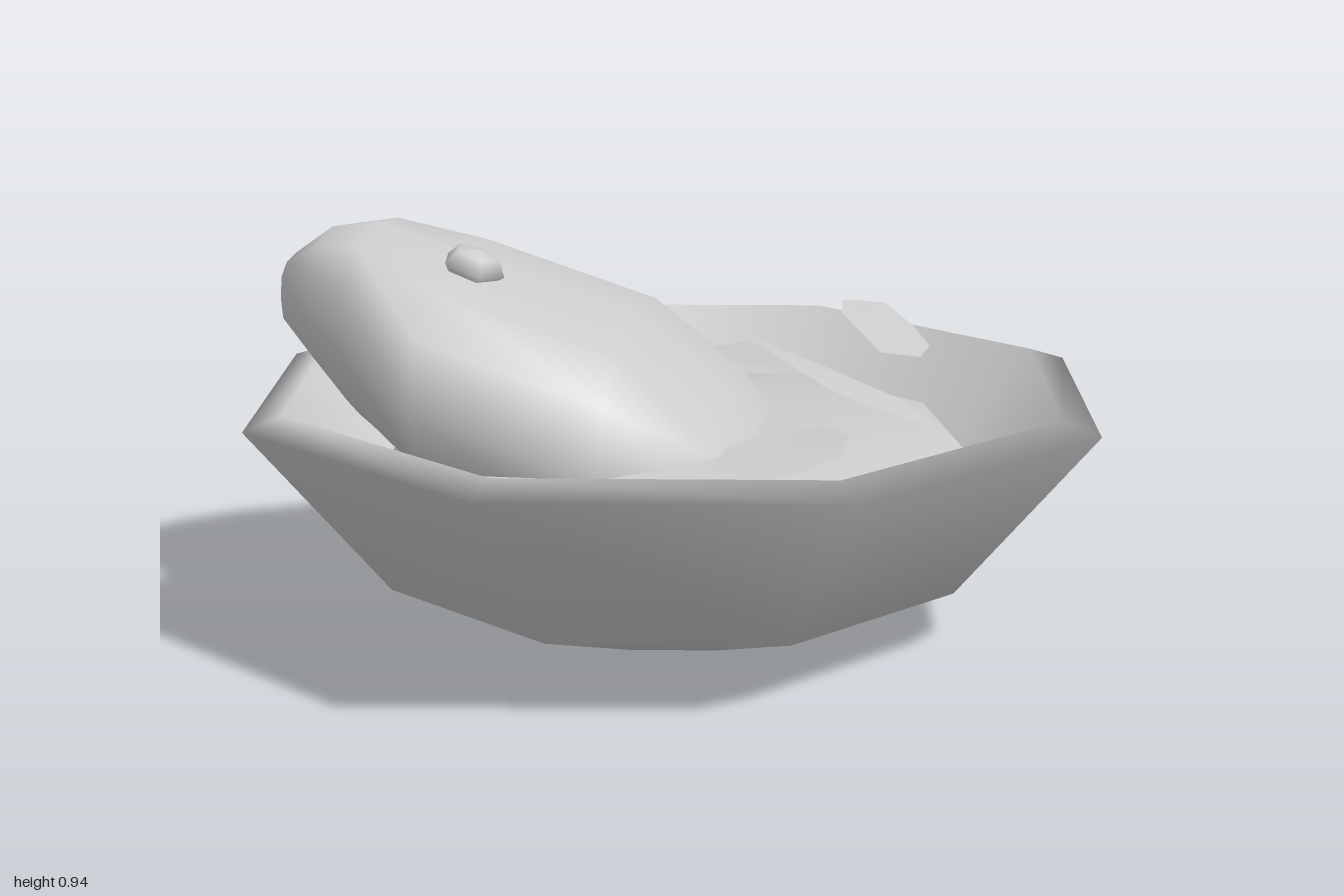
import * as THREE from 'three';

const material = new THREE.MeshStandardMaterial({ color: 0xcccccc });
const thinMaterial = new THREE.MeshStandardMaterial({ color: 0xcccccc, side: THREE.DoubleSide });

function addMesh(group, name, geometry, mat = material) {
  const mesh = new THREE.Mesh(geometry, mat);
  mesh.name = name;
  group.add(mesh);
  return mesh;
}

// Faceted solid of revolution; the profile runs from the bottom up the outside.
function turned(profile, sides, startDegrees) {
  const points = profile.map(([r, y]) => new THREE.Vector2(r, y));
  return new THREE.LatheGeometry(points, sides, THREE.MathUtils.degToRad(startDegrees));
}

function indexed(positions, index) {
  const geometry = new THREE.BufferGeometry();
  geometry.setAttribute('position', new THREE.Float32BufferAttribute(positions, 3));
  geometry.setIndex(index);
  geometry.computeVertexNormals();
  return geometry;
}

// Boxy rounded sections [s, top, middle, bottom, halfWidth] along the diagonal x = -z.
function loft(sections, sides, shift) {
  const positions = [], index = [];
  const soften = (v) => Math.sign(v) * Math.abs(v) ** 0.75;
  sections.forEach(([s, top, middle, bottom, width], i) => {
    for (let j = 0; j < sides; j++) {
      const a = (j / sides) * Math.PI * 2;
      const d = shift + width * soften(Math.cos(a));
      const v = soften(Math.sin(a));
      const y = middle + v * (v > 0 ? top - middle : middle - bottom);
      positions.push((s + d) * Math.SQRT1_2, y, (d - s) * Math.SQRT1_2);
      if (i === 0) continue;
      const k = (j + 1) % sides, p = (i - 1) * sides, q = i * sides;
      index.push(p + j, q + j, p + k, p + k, q + j, q + k);
    }
  });
  return indexed(positions, index);
}

// Thin leaf: a fan of triangles around the middle of its outline.
function leafGeometry(outline) {
  const n = outline.length;
  const centre = [0, 1, 2].map((k) => outline.reduce((sum, p) => sum + p[k], 0) / n);
  const index = [];
  for (let i = 0; i < n; i++) index.push(0, 1 + ((i + 1) % n), 1 + i);
  return indexed([centre, ...outline].flat(), index);
}

export function createModel() {
  const model = new THREE.Group();
  model.name = 'filledBowl';

  // Eight-sided bowl with a bevelled rim and a straight inner wall
  addMesh(model, 'bowl', turned([
    [0, 0], [0.265, 0], [0.7, 0.15], [1.035, 0.555],
    [0.945, 0.585], [0.64, 0.22], [0.24, 0.09], [0, 0.09],
  ], 8, 30));

  // Low mound filling the bowl
  const mound = addMesh(model, 'filling', turned([
    [0.5, 0.2], [0.68, 0.27], [0.735, 0.36], [0.65, 0.46], [0.3, 0.49], [0, 0.5],
  ], 10, 25));
  mound.position.z = -0.03;

  // Large tapered piece leaning on the rim
  addMesh(model, 'mainPiece', loft([
    [-0.9, 0.79, 0.78, 0.77, 0.01],
    [-0.92, 0.86, 0.78, 0.69, 0.14],
    [-0.83, 0.925, 0.74, 0.6, 0.23],
    [-0.72, 0.94, 0.69, 0.5, 0.34],
    [-0.52, 0.875, 0.6, 0.38, 0.52],
    [-0.1, 0.74, 0.46, 0.22, 0.52],
    [0.12, 0.58, 0.39, 0.22, 0.41],
    [0.26, 0.45, 0.35, 0.24, 0.24],
    [0.28, 0.36, 0.35, 0.34, 0.01],
  ], 12, -0.03));

  // Small five-sided domed knob on the upper face
  const knob = addMesh(model, 'knob', turned(
    [[0.055, -0.035], [0.078, -0.01], [0.055, 0.025], [0, 0.035]], 5, 0));
  knob.position.set(-0.265, 0.87, 0.385);
  knob.quaternion.setFromUnitVectors(
    new THREE.Vector3(0, 1, 0), new THREE.Vector3(0.26, 0.93, -0.22).normalize());

  // Loose leaves on the filling
  const leaves = [
    [[-0.16, 0.65, -0.78], [-0.03, 0.62, -0.76], [0.12, 0.6, -0.69], [0.2, 0.6, -0.59],
      [0.24, 0.64, -0.43], [0.06, 0.7, -0.46], [-0.04, 0.705, -0.54], [-0.12, 0.68, -0.65]],
    [[-0.48, 0.52, -0.57], [-0.3, 0.53, -0.54], [-0.18, 0.54, -0.46], [-0.13, 0.55, -0.34],
      [-0.3, 0.54, -0.33], [-0.42, 0.53, -0.33], [-0.46, 0.52, -0.45]],
    [[0.4, 0.48, -0.48], [0.23, 0.51, -0.51], [0.05, 0.57, -0.42], [-0.04, 0.66, -0.24],
      [0.12, 0.64, -0.21], [0.27, 0.58, -0.25], [0.35, 0.53, -0.35]],
    [[0.28, 0.5, -0.23], [0.42, 0.51, -0.19], [0.52, 0.5, -0.08], [0.56, 0.49, 0.1],
      [0.53, 0.49, 0.25], [0.42, 0.5, 0.21], [0.3, 0.5, 0.07], [0.26, 0.5, -0.08]],
  ];
  leaves.forEach((outline, i) =>
    addMesh(model, `leaf${i + 1}`, leafGeometry(outline), thinMaterial));

  return model;
}
